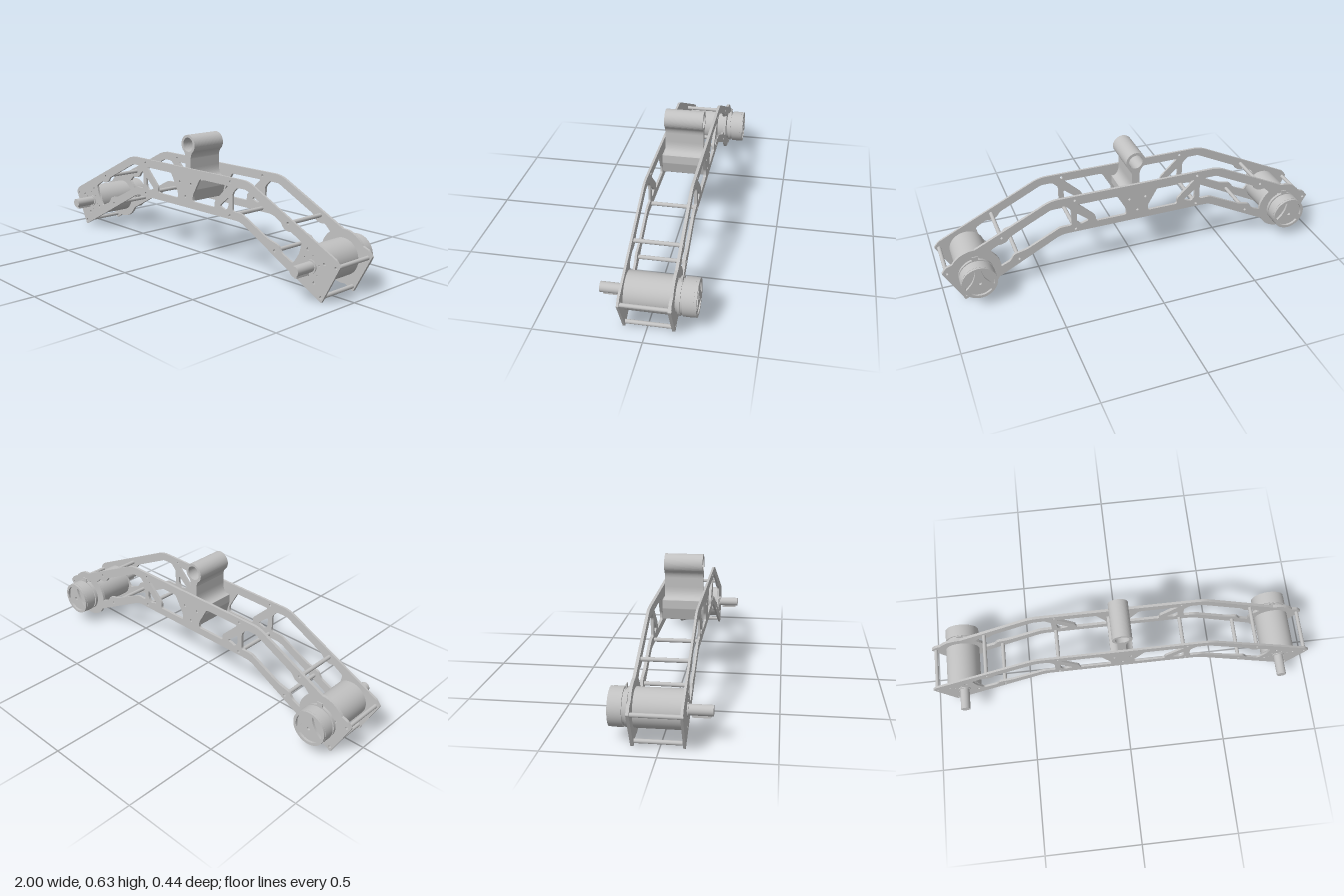
import * as THREE from 'three';

const steel = new THREE.MeshStandardMaterial({ color: 0xc2c2c2 });
steel.name = 'steel grey';

const MOTOR = [0.84, 0.152];
// spacer positions on the +x half
const SPACERS = [[0.327, 0.282], [0.7, 0.318], [0.622, 0.173], [0.978, 0.176], [0.9, 0.023]];
const mirror = (pts) => pts.map(([x, y, r]) => [-x, y, r]).reverse();

function mesh(name, geo, parent) {
  const m = new THREE.Mesh(geo, steel);
  m.name = name;
  parent.add(m);
  return m;
}

// closed path whose corners [x, y, r] are rounded by r
function rounded(pts, path, radius = 0) {
  const n = pts.length;
  const toward = (a, b, r) => {
    const d = Math.hypot(b[0] - a[0], b[1] - a[1]);
    const t = Math.min(r / d, 0.49);
    return [a[0] + (b[0] - a[0]) * t, a[1] + (b[1] - a[1]) * t];
  };
  pts.forEach((p, i) => {
    const r = p[2] ?? radius;
    const a = toward(p, pts[(i + n - 1) % n], r), b = toward(p, pts[(i + 1) % n], r);
    if (i === 0) path.moveTo(...a); else path.lineTo(...a);
    if (r > 0) path.quadraticCurveTo(p[0], p[1], ...b);
  });
  path.closePath();
  return path;
}

function circle(x, y, r) {
  return new THREE.Path().absarc(x, y, r, 0, Math.PI * 2, true);
}

// points on a circle around the motor axis
function arc(from, to, r, steps) {
  return Array.from({ length: steps + 1 }, (_, i) => {
    const a = THREE.MathUtils.degToRad(from + (to - from) * i / steps);
    return [MOTOR[0] + r * Math.cos(a), MOTOR[1] + r * Math.sin(a), 0];
  });
}

// outlines run counter-clockwise so that hole walls face inward
function extrude(shape, z0, z1, curveSegments = 10) {
  const g = new THREE.ExtrudeGeometry(shape, { depth: z1 - z0, bevelEnabled: false, curveSegments });
  return g.translate(0, 0, z0);
}

// cylinder along z
function rod(name, x, y, z0, z1, r, parent, sides = 40) {
  const g = new THREE.CylinderGeometry(r, r, z1 - z0, sides).rotateX(Math.PI / 2);
  mesh(name, g, parent).position.set(x, y, (z0 + z1) / 2);
}

// side plate: bent truss; the rear one has round lobes at the motors
function sidePlate(name, z0, z1, lobed, parent) {
  const half = [
    [0.445, 0.47, 0.04],
    ...(lobed ? arc(93, 33, 0.128, 12) : []),
    [0.978, 0.211, 0.008], [1.001, 0.182, 0.004], [0.905, -0.001, 0.004], [0.88, 0.011, 0.008],
    ...(lobed ? arc(278, 208, 0.128, 12) : []),
    [0.4, 0.265, 0.03],
  ];
  const shape = rounded([...half, ...mirror(half)].reverse(), new THREE.Shape());
  const armEnd = lobed
    ? arc(128, 180, 0.128, 8)
    : [[0.785, 0.252, 0.012], [0.772, 0.195, 0.02], [0.735, 0.14, 0.015]];
  const windows = [
    // beside the hub
    [[0.11, 0.427], [0.315, 0.427], [0.22, 0.335], [0.22, 0.303], [0.058, 0.303], [0.058, 0.335]],
    // small triangle in the strut
    [[0.318, 0.372], [0.318, 0.325], [0.3, 0.303], [0.255, 0.318]],
    // long arm window with bumps around the spacer bosses
    [[0.345, 0.395], [0.375, 0.427], [0.435, 0.427], [0.655, 0.318], [0.675, 0.29], [0.705, 0.28],
      [0.73, 0.284], ...armEnd, [0.665, 0.172], [0.645, 0.205], [0.605, 0.214], [0.575, 0.222],
      [0.405, 0.306], [0.345, 0.306]],
  ];
  for (const w of windows) {
    shape.holes.push(rounded(w, new THREE.Path(), 0.012));
    shape.holes.push(rounded(mirror(w), new THREE.Path(), 0.012));
  }
  // bolt holes
  const bolts = [[0.327, 0.448], [0.043, 0.39], [0.82, 0.226], [0.77, 0.128], [0.915, 0.178], [0.86, 0.08], ...SPACERS];
  for (const s of [-1, 1]) {
    for (const [x, y] of bolts) shape.holes.push(circle(s * x, y, 0.007));
    for (let i = 0; i < 6; i++) {
      const a = i * Math.PI / 3 + 0.3;
      shape.holes.push(circle(s * (MOTOR[0] + 0.05 * Math.cos(a)), MOTOR[1] + 0.05 * Math.sin(a), 0.004));
    }
  }
  shape.holes.push(circle(0, 0.32, 0.007));
  mesh(name, extrude(shape, z0, z1), parent);
}

// motor with keyed shaft at the front and a brake at the back
function motor(side) {
  const g = new THREE.Group();
  g.name = side > 0 ? 'leftMotor' : 'rightMotor';
  g.position.set(side * MOTOR[0], MOTOR[1], 0);
  rod('motorBody', 0, 0, -0.113, 0.099, 0.088, g, 56);
  rod('shaftCollar', 0, 0, 0.105, 0.115, 0.032, g);
  rod('shaft', 0, 0, 0.1, 0.222, 0.0245, g);
  mesh('shaftKey', new THREE.BoxGeometry(0.014, 0.012, 0.08), g).position.set(0, -0.028, 0.17);
  rod('rearFlange', 0, 0, -0.137, -0.113, 0.076, g);
  rod('brakePlate', 0, 0, -0.15, -0.137, 0.087, g, 56);
  rod('brakeNeck', 0, 0, -0.162, -0.15, 0.08, g);
  mesh('brakeTab', new THREE.BoxGeometry(0.03, 0.026, 0.005), g).position.set(0, 0.093, -0.149);
  rod('brakeDrum', 0, 0, -0.21, -0.16, 0.088, g, 56);
  // drum face with three curved pockets
  const face = new THREE.Shape().absarc(0, 0, 0.087, 0, Math.PI * 2, false);
  for (let i = 0; i < 3; i++) {
    const a = i * Math.PI * 2 / 3 + 0.5, w = 0.85;
    const p = new THREE.Path();
    p.absarc(0, 0, 0.073, a - w, a + w, false);
    p.quadraticCurveTo(0.024 * Math.cos(a), 0.024 * Math.sin(a), 0.073 * Math.cos(a - w), 0.073 * Math.sin(a - w));
    face.holes.push(p);
  }
  face.holes.push(circle(0, 0, 0.009));
  mesh('brakeFace', extrude(face, -0.222, -0.21, 28), g);
  return g;
}

// lifting eye: tube on a flared neck
function liftingEye(parent) {
  const s = new THREE.Shape();
  s.moveTo(-0.056, 0.405);
  s.lineTo(0.056, 0.405);
  s.quadraticCurveTo(0.021, 0.415, 0.02, 0.465);
  s.lineTo(0.02, 0.515);
  s.quadraticCurveTo(0.021, 0.54, 0.039, 0.554);
  s.absarc(0, 0.585, 0.05, -0.67, Math.PI + 0.67, false);
  s.quadraticCurveTo(-0.021, 0.54, -0.02, 0.515);
  s.lineTo(-0.02, 0.465);
  s.quadraticCurveTo(-0.021, 0.415, -0.056, 0.405);
  s.holes.push(circle(0, 0.585, 0.036));
  mesh('liftingEye', extrude(s, -0.105, 0.09, 24), parent);
  const block = rounded([[-0.04, 0.3], [0.04, 0.3], [0.057, 0.36], [0.057, 0.405], [-0.057, 0.405], [-0.057, 0.36]],
    new THREE.Shape(), 0.002);
  mesh('eyeBlock', extrude(block, -0.113, 0.099), parent);
}

export function createModel() {
  const model = new THREE.Group();
  model.name = 'liftingBeam';
  sidePlate('frontPlate', 0.099, 0.11, false, model);
  sidePlate('backPlate', -0.127, -0.113, true, model);
  liftingEye(model);
  // spacers between the plates, and the motors
  for (const s of [-1, 1]) {
    for (const [x, y] of SPACERS) rod('spacer', s * x, y, -0.113, 0.099, 0.01, model, 16);
    model.add(motor(s));
  }
  return model;
}
